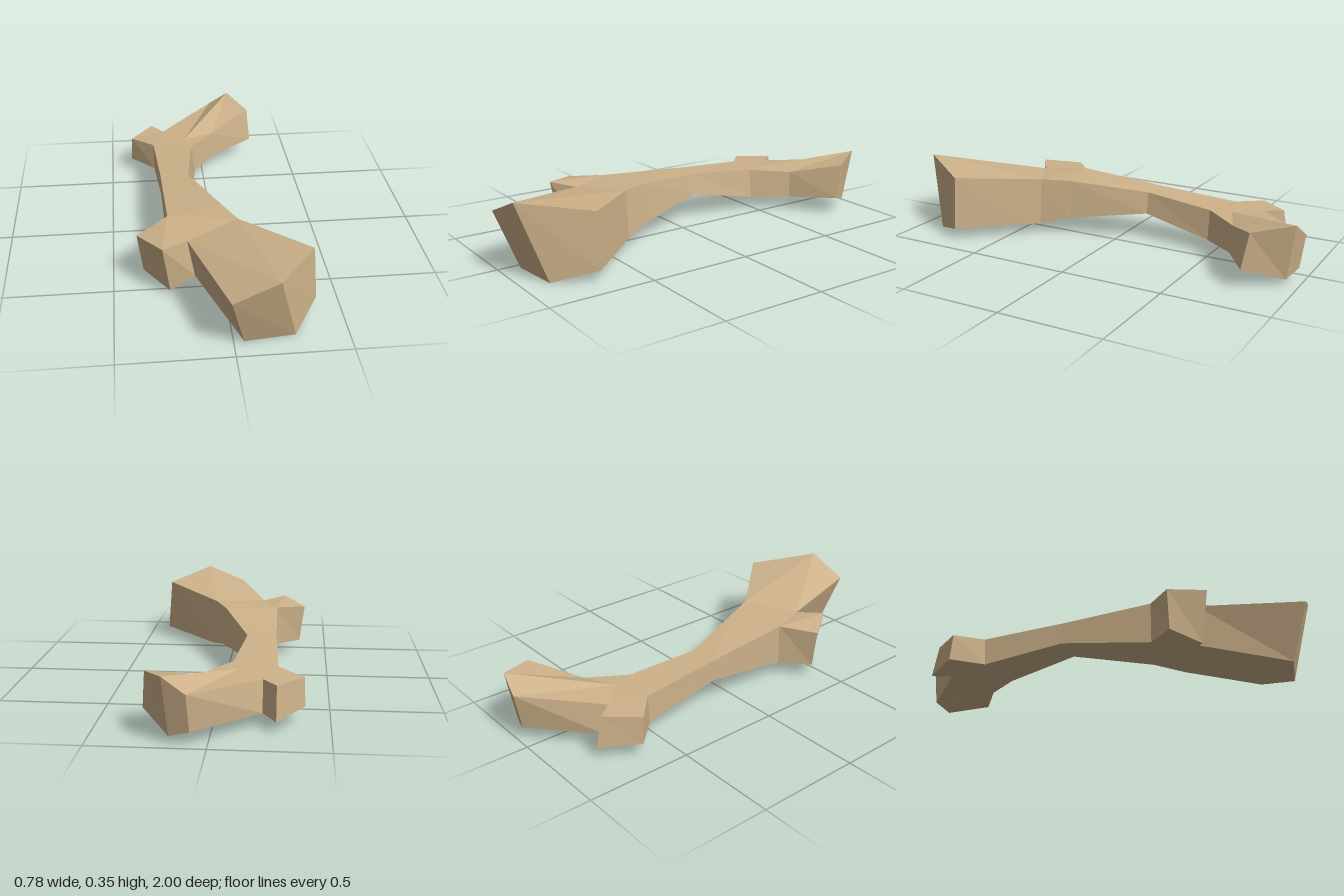
import * as THREE from 'three';

// Corners of the branch, going round its outline: [x, y, z] along the upper rim ...
const upper = [
  [-0.02, 0.27, 1.0], [0.18, 0.355, 0.99], [0.37, 0.315, 0.7],      // front limb end
  [0.08, 0.28, 0.38], [0.02, 0.275, 0.24], [-0.11, 0.235, -0.13],   // left flank
  [-0.07, 0.21, -0.48], [0.06, 0.2, -0.65],
  [0.275, 0.26, -0.81], [0.18, 0.293, -0.985], [0.08, 0.225, -1.0], // rear limb end
  [-0.21, 0.2, -0.7], [-0.27, 0.2, -0.78], [-0.385, 0.195, -0.64],  // rear stub
  [-0.27, 0.205, -0.53], [-0.25, 0.235, -0.13], [-0.24, 0.27, 0.31], // right flank
  [-0.385, 0.25, 0.43], [-0.277, 0.272, 0.59], [-0.163, 0.26, 0.51], // front stub
  [-0.1, 0.207, -0.58],                                             // start of rear ridge
];
// ... and the matching corners along the lower rim
const lower = [
  [0.045, 0.005, 0.91], [0.27, 0, 0.88], [0.39, 0.055, 0.7],
  [0.1, 0.05, 0.38], [0.04, 0.085, 0.24], [-0.09, 0.13, -0.13],
  [-0.05, 0.065, -0.48], [0.07, 0.07, -0.64],
  [0.29, 0.09, -0.78], [0.16, 0.03, -0.945], [0.07, 0.06, -0.975],
  [-0.21, 0.06, -0.73], [-0.27, 0.05, -0.81], [-0.39, 0.066, -0.65],
  [-0.27, 0.07, -0.52], [-0.25, 0.13, -0.13], [-0.24, 0.07, 0.31],
  [-0.36, 0.063, 0.43], [-0.245, 0.025, 0.55], [-0.13, 0.07, 0.51],
  [-0.1, 0.062, -0.58],
];
const RIM = 20; // corners on the outline; the last one lies inside it
const RIDGE = 20;

// Each part is a set of cells, listed counter-clockwise seen from above
const parts = {
  trunk: [[3, 4, 16, 19], [4, 5, 15, 16], [5, 6, 14, 15], [6, RIDGE, 14]],
  frontLimb: [[0, 1, 19], [1, 3, 19], [1, 2, 3]],
  frontStub: [[16, 17, 18, 19]],
  rearLimb: [[6, 7, RIDGE], [7, 8, 9, RIDGE], [RIDGE, 9, 10, 11], [RIDGE, 11, 14]],
  rearStub: [[11, 12, 13, 14]],
};

function buildPart(cells) {
  const positions = [];
  const triangle = (a, b, c) => positions.push(...a, ...b, ...c);
  for (const cell of cells) {
    // top and underside
    for (let i = 1; i < cell.length - 1; i++) {
      const [a, b, c] = [cell[0], cell[i], cell[i + 1]];
      triangle(upper[a], upper[b], upper[c]);
      triangle(lower[a], lower[c], lower[b]);
    }
    // side walls where the cell edge lies on the outline
    cell.forEach((a, i) => {
      const b = cell[(i + 1) % cell.length];
      if (a >= RIM || b !== (a + 1) % RIM) return;
      triangle(upper[a], lower[a], lower[b]);
      triangle(upper[a], lower[b], upper[b]);
    });
  }
  const geometry = new THREE.BufferGeometry();
  geometry.setAttribute('position', new THREE.Float32BufferAttribute(positions, 3));
  geometry.computeVertexNormals(); // unshared corners give flat facets
  return geometry;
}

export function createModel() {
  const wood = new THREE.MeshStandardMaterial({ color: 0xcdb28a });
  wood.name = 'paleWood';
  const model = new THREE.Group();
  model.name = 'branch';
  for (const [name, cells] of Object.entries(parts)) {
    const mesh = new THREE.Mesh(buildPart(cells), wood);
    mesh.name = name;
    model.add(mesh);
  }
  return model;
}
